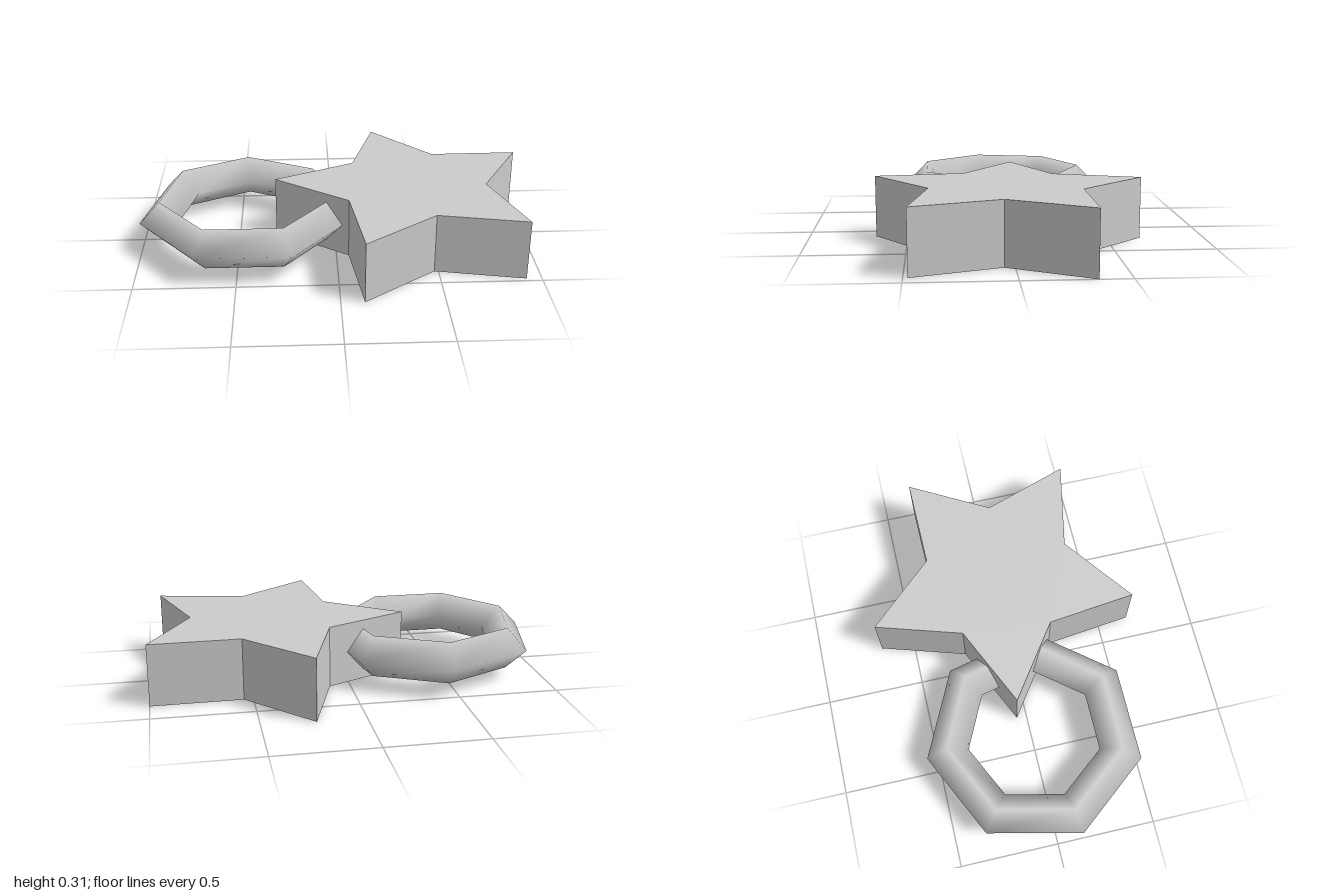
import * as THREE from 'three';

export function createModel() {
  const group = new THREE.Group();
  const material = new THREE.MeshStandardMaterial({ color: 0xcccccc });

  // Thick five-pointed star lying flat
  const points = [];
  for (let i = 0; i < 10; i++) {
    const angle = THREE.MathUtils.degToRad(30.7 + i * 36);
    const radius = i % 2 ? 0.386 : 0.705;
    points.push(new THREE.Vector2(Math.cos(angle) * radius, Math.sin(angle) * radius));
  }
  const starGeometry = new THREE.ExtrudeGeometry(new THREE.Shape(points), {
    depth: 0.313,
    bevelEnabled: false,
  });
  starGeometry.rotateX(-Math.PI / 2);
  const star = new THREE.Mesh(starGeometry, material);
  star.name = 'star';
  star.position.set(0.394, 0, 0.014);
  group.add(star);

  // Seven-sided ring with a diamond section, softly shaded, one corner pointing back
  const ringGeometry = new THREE.TorusGeometry(0.447, 0.107, 4, 7);
  ringGeometry.rotateZ(Math.PI / 2);
  ringGeometry.rotateX(-Math.PI / 2);
  const ring = new THREE.Mesh(ringGeometry, material);
  ring.name = 'ring';
  ring.position.set(-0.46, 0.161, 0.002);
  group.add(ring);

  return group;
}
